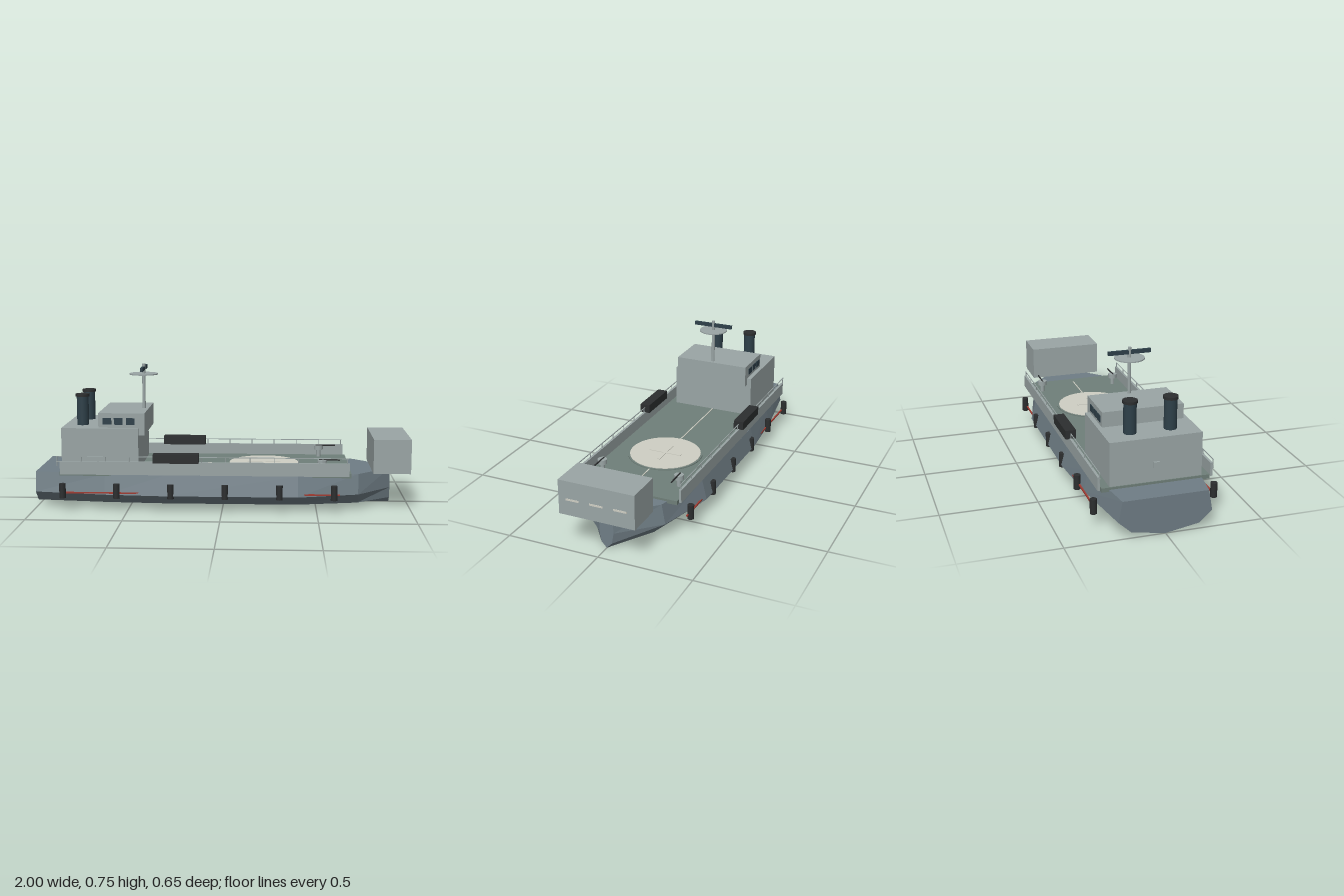
import * as THREE from 'three';

const mat = (color, flatShading = false) => {
  const m = new THREE.MeshStandardMaterial({ flatShading });
  m.color.set(color);
  return m;
};
const HULL = mat(0x6f7d85, true), DECK = mat(0x6f7f79), GREY = mat(0x9aa5a5);
const BLACK = mat(0x2c2e2f), DARK = mat(0x2e4049), CREAM = mat(0xcfcfc4), RED = mat(0xa03a30);

// Faceted hull lofted through stations of [x, half beam at the knuckle]
function hullGeometry() {
  const stations = [[-1, 0.235], [-0.62, 0.295], [-0.3, 0.32], [0.4, 0.317], [0.72, 0.23], [0.905, 0.039]];
  const rings = stations.map(([x, w]) => {
    const deck = w * 0.92, chine = w * 0.73;
    return [[0, 0], [0.03, chine], [0.088, w], [0.195, deck], [0.195, -deck], [0.088, -w], [0.03, -chine]]
      .map(([y, z]) => [x, y, z]);
  });
  const pos = [];
  const tri = (a, b, c) => pos.push(...a, ...b, ...c);
  for (let i = 0; i < rings.length - 1; i++) {
    const r = rings[i], s = rings[i + 1], n = r.length;
    for (let j = 0; j < n; j++) {
      const k = (j + 1) % n;
      tri(r[j], s[j], s[k]);
      tri(r[j], s[k], r[k]);
    }
  }
  const stern = rings[0], bow = rings[rings.length - 1];
  for (let j = 1; j < stern.length - 1; j++) {
    tri(stern[0], stern[j], stern[j + 1]);
    tri(bow[0], bow[j + 1], bow[j]);
  }
  const g = new THREE.BufferGeometry();
  g.setAttribute('position', new THREE.Float32BufferAttribute(pos, 3));
  g.computeVertexNormals();
  return g;
}

export function createModel() {
  const ship = new THREE.Group();
  ship.name = 'landingShip';

  const add = (name, geometry, material, x = 0, y = 0, z = 0) => {
    const m = new THREE.Mesh(geometry, material);
    m.name = name;
    m.position.set(x, y, z);
    ship.add(m);
    return m;
  };
  // Box given by its extents
  const box = (name, material, x0, x1, y0, y1, z0, z1) =>
    add(name, new THREE.BoxGeometry(x1 - x0, y1 - y0, z1 - z0), material,
      (x0 + x1) / 2, (y0 + y1) / 2, (z0 + z1) / 2);
  // Upright cylinder between two heights
  const post = (name, material, r, y0, y1, x, z, sides = 20) =>
    add(name, new THREE.CylinderGeometry(r, r, y1 - y0, sides), material, x, (y0 + y1) / 2, z);

  add('hull', hullGeometry(), HULL);
  box('deck', DECK, -0.86, 0.68, 0.185, 0.207, -0.275, 0.275);

  // Centre line and landing pad
  box('deckLine', CREAM, -0.44, 0.63, 0.205, 0.209, -0.003, 0.003);
  post('padRim', DECK, 0.2, 0.2, 0.212, 0.22, 0, 48);
  post('padDisc', CREAM, 0.19, 0.2, 0.215, 0.22, 0, 48);
  box('padCross', CREAM, 0.13, 0.31, 0.214, 0.218, -0.008, 0.008);
  box('padCross', CREAM, 0.212, 0.228, 0.214, 0.218, -0.09, 0.09);

  // Deckhouse and bridge
  box('deckhouse', GREY, -0.855, -0.445, 0.2, 0.433, -0.235, 0.235);
  box('sternHatch', GREY, -0.866, -0.85, 0.28, 0.31, -0.015, 0.015);
  box('bridge', GREY, -0.66, -0.413, 0.393, 0.511, -0.211, 0.211);

  // Bow block with slits
  box('bowBlock', GREY, 0.8, 0.998, 0.195, 0.378, -0.204, 0.204);
  for (const z of [-0.128, 0, 0.128]) {
    box('bowSlit', CREAM, 0.99, 1, 0.275, 0.285, z - 0.035, z + 0.035);
  }

  // Mast and radar
  post('mast', GREY, 0.009, 0.5, 0.755, -0.44, 0, 12);
  post('radarDisc', GREY, 0.077, 0.696, 0.702, -0.44, 0, 32);
  box('radarBar', DARK, -0.447, -0.433, 0.72, 0.74, -0.112, 0.112);

  // Parts mirrored on both sides
  for (const s of [1, -1]) {
    const sideBox = (name, material, x0, x1, y0, y1, z, t) =>
      box(name, material, x0, x1, y0, y1, s * z - t / 2, s * z + t / 2);

    sideBox('bulwark', GREY, -0.855, 0.668, 0.195, 0.265, 0.287, 0.013);
    sideBox('rubbingStrip', RED, -0.85, 0.62, 0.096, 0.103, 0.302, 0.008);
    sideBox('sideLocker', BLACK, -0.36, -0.12, 0.262, 0.309, 0.287, 0.056);
    for (const x of [-0.613, -0.553, -0.489]) {
      sideBox('bridgeWindow', DARK, x - 0.023, x + 0.023, 0.45, 0.485, 0.211, 0.007);
    }

    // Railing
    sideBox('rail', GREY, -0.875, 0.662, 0.289, 0.293, 0.287, 0.004);
    for (let i = 0; i <= 12; i++) {
      post('railPost', GREY, 0.0025, i === 0 ? 0.24 : 0.26, 0.293, -0.87 + i * 0.1272, s * 0.287, 6);
    }
    sideBox('lowerRail', GREY, -0.875, -0.85, 0.262, 0.266, 0.287, 0.004);

    // Fenders
    for (let i = 0; i < 6; i++) {
      post('fender', BLACK, 0.0175, 0.073, 0.15, -0.84 + i * 0.2857, s * 0.31, 12);
    }

    // Funnels
    post('funnel', DARK, 0.032, 0.425, 0.595, -0.76, s * 0.103);
    post('funnelCap', BLACK, 0.0375, 0.587, 0.601, -0.76, s * 0.103);

    // Foredeck mounts
    post('mountPedestal', GREY, 0.012, 0.2, 0.25, 0.527, s * 0.218, 12);
    post('mount', GREY, 0.025, 0.247, 0.271, 0.527, s * 0.218);
    const barrel = add('mountBarrel', new THREE.CylinderGeometry(0.004, 0.004, 0.11, 8), BLACK,
      0.565, 0.271, s * 0.218);
    barrel.rotation.z = Math.PI / 2;
  }
  return ship;
}
